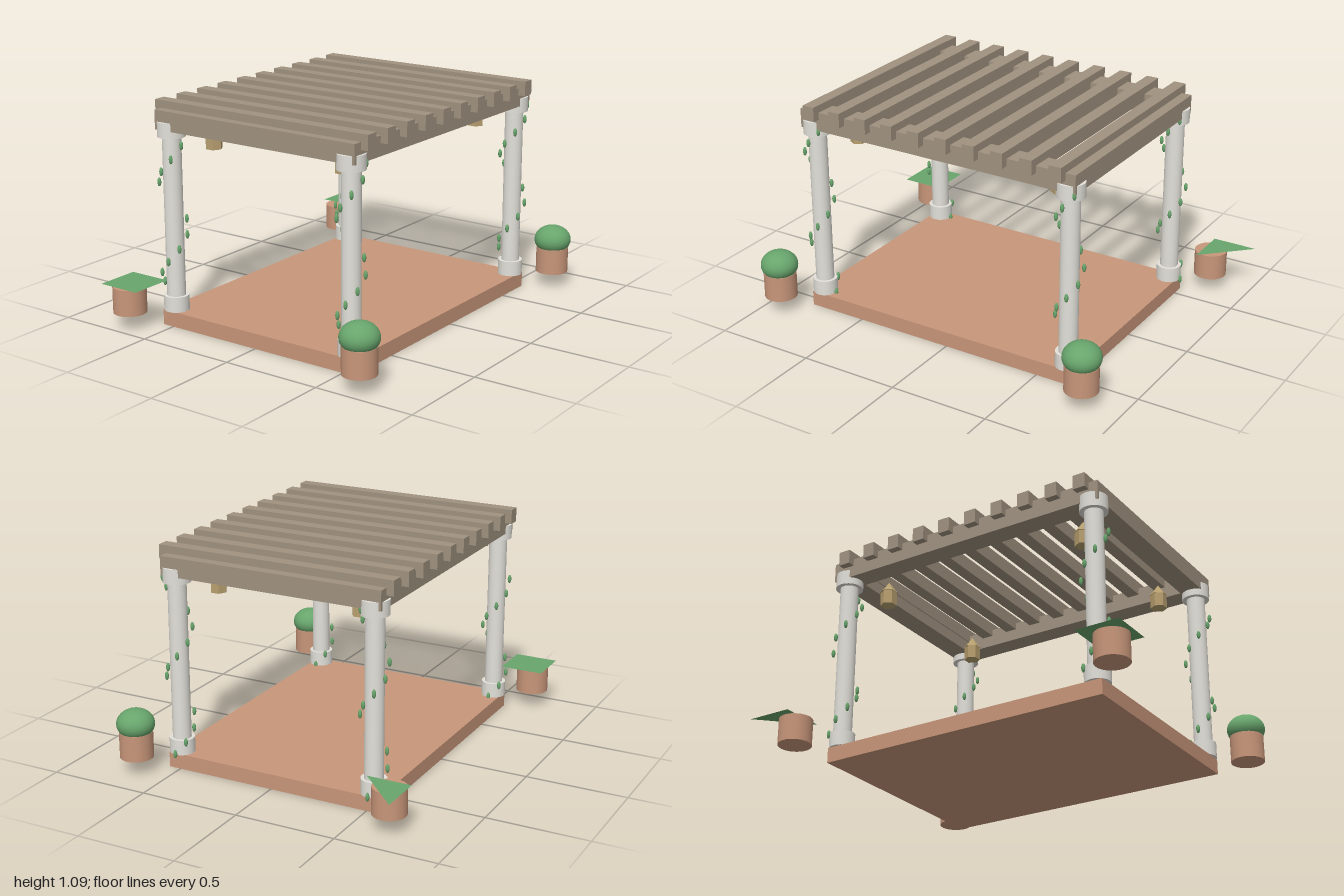
import * as THREE from 'three';

const mat = (color, side = THREE.FrontSide) => new THREE.MeshStandardMaterial({ color, side });
const wood = mat(0xa09280);
const clay = mat(0xc8967a);
const stone = mat(0xe2e0d9);
const foliage = mat(0x68a56c);
const sheetGreen = mat(0x68a56c, THREE.DoubleSide);
const brass = mat(0xb8a070);
brass.flatShading = true;

const CX = -0.055;              // centre of the pavilion in x
const PX = 0.697, PZ = 0.514;   // post offsets from that centre

function add(parent, name, geometry, material, x = 0, y = 0, z = 0) {
  const mesh = new THREE.Mesh(geometry, material);
  mesh.name = name;
  mesh.position.set(x, y, z);
  parent.add(mesh);
  return mesh;
}

// upright cylinder between two heights
function drum(parent, name, r, y0, y1, material) {
  return add(parent, name, new THREE.CylinderGeometry(r, r, y1 - y0, 32), material, 0, (y0 + y1) / 2, 0);
}

// round post with base, capital and a spiral of climbing leaves
function makePost() {
  const post = new THREE.Group();
  post.name = 'post';
  drum(post, 'postShaft', 0.045, 0.075, 0.99, stone);
  drum(post, 'postBase', 0.061, 0.075, 0.15, stone);
  drum(post, 'postCapital', 0.067, 0.927, 1.0, stone);
  const leafGeo = new THREE.SphereGeometry(1, 12, 8).scale(0.0095, 0.0215, 0.0095);
  for (let i = 0; i < 15; i++) {
    const a = THREE.MathUtils.degToRad(48 * i);
    add(post, 'vineLeaf', leafGeo, foliage, 0.065 * Math.cos(a), 0.08 + 0.0624 * i, -0.065 * Math.sin(a));
  }
  return post;
}

// six-sided hanging lantern
function makeLantern() {
  const lantern = new THREE.Group();
  lantern.name = 'lantern';
  add(lantern, 'lanternBody', new THREE.CylinderGeometry(0.041, 0.041, 0.07, 6), brass, 0, 0.895, 0);
  add(lantern, 'lanternRoof', new THREE.ConeGeometry(0.045, 0.06, 6), brass, 0, 0.96, 0);
  return lantern;
}

// clay pot, optionally with a rounded bush
function makePot(withBush) {
  const pot = new THREE.Group();
  pot.name = 'planter';
  drum(pot, 'pot', 0.081, 0.075, 0.205, clay);
  if (withBush) {
    add(pot, 'bush', new THREE.SphereGeometry(1, 32, 20).scale(0.092, 0.073, 0.092), foliage, 0, 0.243, 0);
  }
  return pot;
}

// flat horizontal sheet from [x, z] corners; corner order decides which way it faces
function makeSheet(corners, y) {
  const geo = new THREE.BufferGeometry();
  const pos = corners.flatMap(([x, z]) => [x, y, z]);
  geo.setAttribute('position', new THREE.Float32BufferAttribute(pos, 3));
  geo.setIndex(corners.length === 4 ? [0, 1, 2, 0, 2, 3] : [0, 1, 2]);
  geo.computeVertexNormals();
  return geo;
}

export function createModel() {
  const model = new THREE.Group();
  model.name = 'pergola';

  add(model, 'floor', new THREE.BoxGeometry(1.486, 0.075, 1.12), clay, CX, 0.0375, 0);

  // roof frame
  const beamH = 0.094, beamY = 1.008, beamW = 0.108;
  for (const s of [-1, 1]) {
    add(model, 'crossBeam', new THREE.BoxGeometry(1.498, beamH, beamW), wood, CX, beamY, s * PZ);
    add(model, 'sideBeam', new THREE.BoxGeometry(beamW, beamH, 2 * PZ - beamW), wood, CX + s * 0.695, beamY, 0);
  }

  // roof slats
  const slatGeo = new THREE.BoxGeometry(0.062, 0.072, 1.21);
  for (let i = 0; i < 10; i++) {
    add(model, 'roofSlat', slatGeo, wood, -0.727 + 0.1488 * i, 1.056, 0.001);
  }

  // posts, lanterns and planters at the four corners
  for (const sx of [-1, 1]) {
    for (const sz of [-1, 1]) {
      const post = makePost();
      post.position.set(CX + sx * PX, 0, sz * PZ);
      const lantern = makeLantern();
      lantern.position.set(CX + sx * 0.56, 0, sz * 0.373);
      const pot = makePot(sz > 0);
      pot.position.set(CX + sx * 0.855, 0, sz * 0.67);
      model.add(post, lantern, pot);
    }
  }

  // flat foliage over the back pots
  add(model, 'squareFoliage',
    makeSheet([[-1, -0.765], [-1, -0.545], [-0.782, -0.545], [-0.782, -0.765]], 0.22), sheetGreen);
  add(model, 'triangleFoliage',
    makeSheet([[0.776, -0.765], [1, -0.765], [0.776, -0.545]], 0.22), sheetGreen);

  return model;
}
